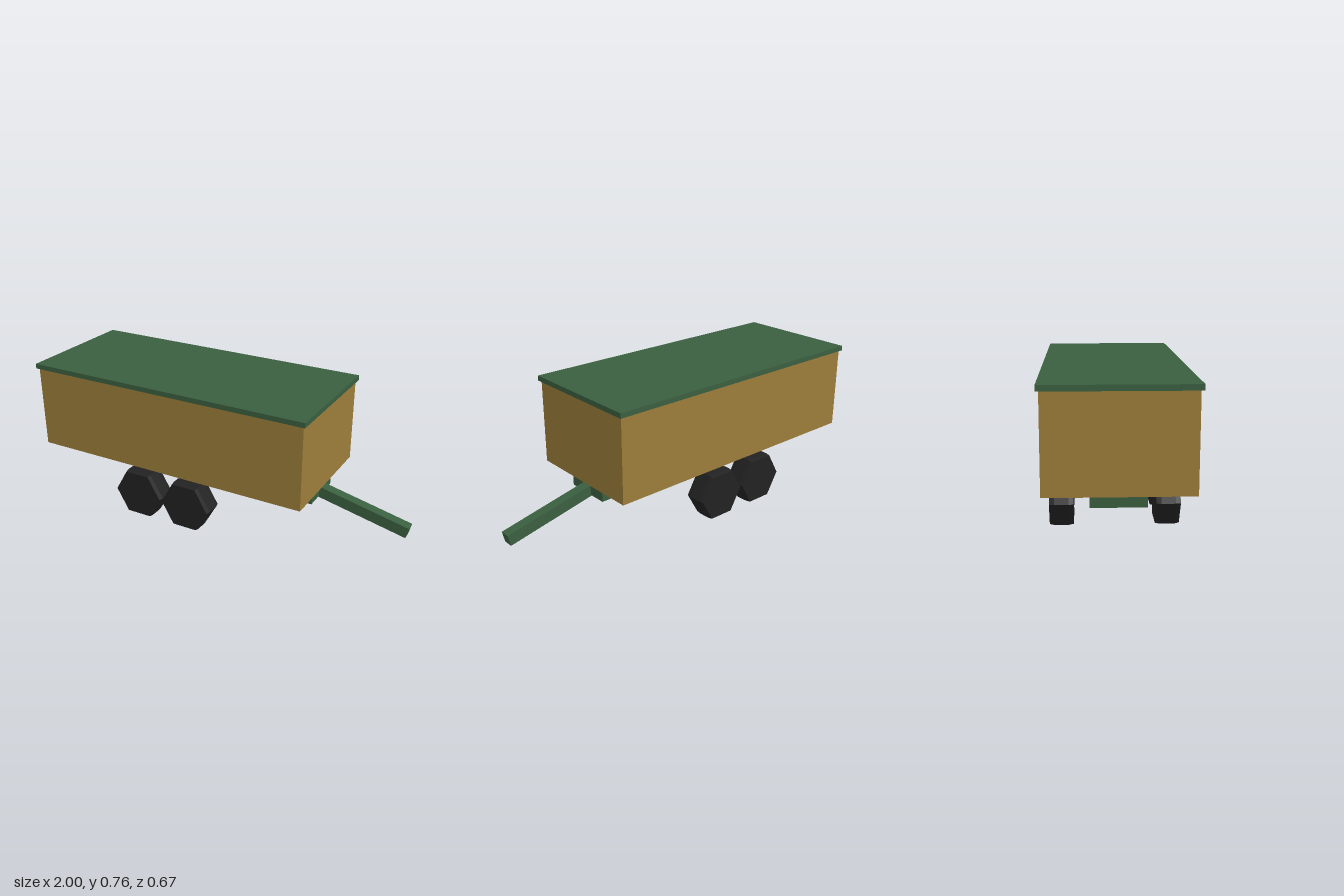
import * as THREE from 'three';

function paint(name, color) {
  const m = new THREE.MeshStandardMaterial({ color });
  m.name = name;
  return m;
}

export function createModel() {
  const trailer = new THREE.Group();
  trailer.name = 'trailer';

  const green = paint('green paint', 0x3a5f40);
  const tan = paint('tan wood', 0x9c7d3a);
  const black = paint('black rubber', 0x222222);

  // Box given by its extents along each axis
  function block(name, material, [x0, x1], [y0, y1], halfZ) {
    const mesh = new THREE.Mesh(new THREE.BoxGeometry(x1 - x0, y1 - y0, halfZ * 2), material);
    mesh.position.set((x0 + x1) / 2, (y0 + y1) / 2, 0);
    mesh.name = name;
    trailer.add(mesh);
  }

  // Body, lid and the chassis beam hanging just below
  block('cargoBox', tan, [-0.989, 0.551], [0.3, 0.74], 0.324);
  block('lid', green, [-1, 0.563], [0.74, 0.766], 0.337);
  block('chassis', green, [-0.905, 0.525], [0.228, 0.287], 0.123);

  // Sloping drawbar between its two end centres
  const start = new THREE.Vector2(0.515, 0.254);
  const end = new THREE.Vector2(0.992, 0.148);
  const slope = end.clone().sub(start);
  const drawbar = new THREE.Mesh(new THREE.BoxGeometry(slope.length(), 0.058, 0.054), green);
  drawbar.position.set((start.x + end.x) / 2, (start.y + end.y) / 2, 0);
  drawbar.rotation.z = Math.atan2(slope.y, slope.x);
  drawbar.name = 'drawbar';
  trailer.add(drawbar);

  // Six-sided wheels with a small bevel on both rims
  const radius = 0.142;
  const profile = [
    [0, -0.058], [0.137, -0.058], [radius, -0.034],
    [radius, 0.034], [0.137, 0.058], [0, 0.058],
  ].map(([r, y]) => new THREE.Vector2(r, y));
  const wheelGeometry = new THREE.LatheGeometry(profile, 6, Math.PI / 2).toNonIndexed();
  wheelGeometry.computeVertexNormals();
  wheelGeometry.rotateX(Math.PI / 2);

  for (const [side, z] of [['left', -0.253], ['right', 0.253]]) {
    for (const [end, x] of [['Rear', -0.398], ['Front', -0.109]]) {
      const wheel = new THREE.Mesh(wheelGeometry, black);
      wheel.position.set(x, 0.124, z);
      wheel.name = `${side}${end}Wheel`;
      trailer.add(wheel);
    }
  }

  return trailer;
}
